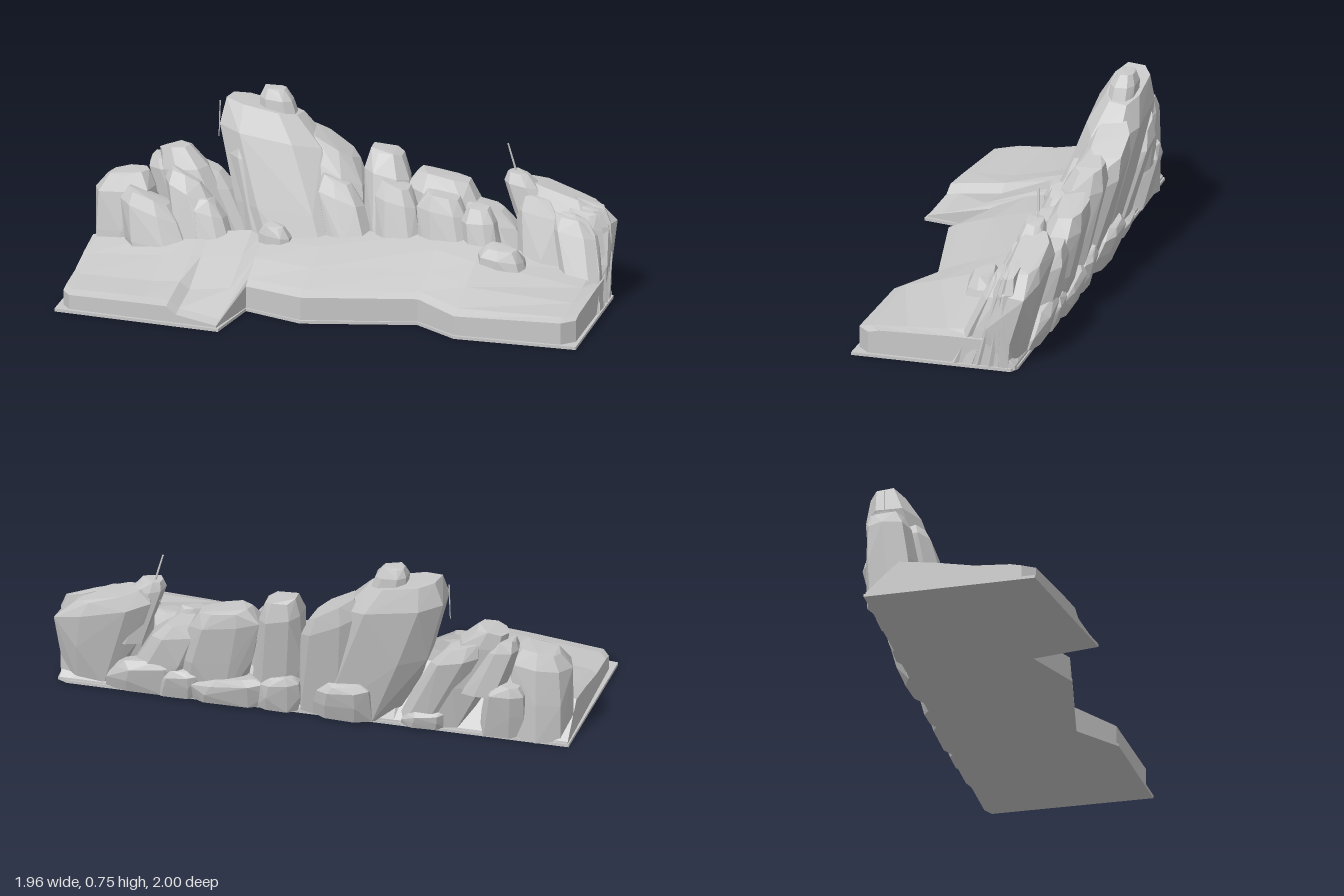
import * as THREE from 'three';
import { ConvexGeometry } from 'three/addons/geometries/ConvexGeometry.js';

// Working frame: x runs along the straight back edge, z runs towards the front, y is up.
export function createModel() {
  const model = new THREE.Group();
  model.name = 'rockOutcrop';
  const site = new THREE.Group();
  site.name = 'site';
  site.rotation.y = -0.832;
  site.position.set(-0.45, 0, -1.0);
  model.add(site);

  const stone = new THREE.MeshStandardMaterial({ color: 0xc8c8c8, flatShading: true });
  stone.name = 'grey stone';
  const add = (name, geometry) => {
    const mesh = new THREE.Mesh(geometry, stone);
    mesh.name = name;
    site.add(mesh);
    return mesh;
  };

  let seed = 7;
  const rand = () => {
    seed = (seed * 16807) % 2147483647;
    return seed / 2147483647;
  };

  // Thin base plate
  const outline = [[0, 0], [-0.017, 0.7], [0.67, 0.793], [0.718, 0.518], [0.96, 0.617],
    [1.415, 0.525], [1.594, 0.656], [2.095, 0.675], [2.09, 0.02], [2.05, 0]];
  const plate = new THREE.ExtrudeGeometry(
    new THREE.Shape(outline.map(([x, z]) => new THREE.Vector2(x, z))),
    { depth: 0.012, bevelEnabled: false });
  plate.rotateX(Math.PI / 2).translate(0, 0.012, 0);
  add('basePlate', plate);

  // Ground: [x, front edge z, heights from back to front]
  const stations = [
    [0.005, 0.64, 0.02, 0.14, 0.12, 0.09, 0.08, 0.07],
    [0.04, 0.69, 0.02, 0.15, 0.12, 0.09, 0.08, 0.07],
    [0.34, 0.735, 0.02, 0.19, 0.14, 0.095, 0.085, 0.075],
    [0.45, 0.75, 0.02, 0.2, 0.155, 0.105, 0.085, 0.075],
    [0.49, 0.755, 0.02, 0.2, 0.15, 0.075, 0.055, 0.045],
    [0.66, 0.78, 0.02, 0.22, 0.17, 0.1, 0.03, 0.02],
    [0.715, 0.51, 0.02, 0.22, 0.2, 0.17, 0.12, 0.1],
    [0.96, 0.608, 0.02, 0.23, 0.21, 0.17, 0.125, 0.105],
    [1.415, 0.517, 0.02, 0.25, 0.22, 0.17, 0.125, 0.105],
    [1.594, 0.645, 0.02, 0.24, 0.2, 0.15, 0.11, 0.09],
    [2.03, 0.66, 0.02, 0.15, 0.13, 0.12, 0.11, 0.1],
    [2.08, 0.61, 0.02, 0.12, 0.12, 0.115, 0.11, 0.1],
  ];
  const fractions = [0.01, 0.22, 0.45, 0.7, 0.93, 1];
  const position = [], index = [], n = fractions.length + 2;
  stations.forEach(([x, front, ...heights], i) => {
    position.push(x, 0.006, 0.005);
    heights.forEach((y, j) => position.push(x, y, front * fractions[j]));
    position.push(x, 0.006, front);
    if (i === stations.length - 1) return;
    for (let j = 0; j < n - 1; j++) {
      const a = i * n + j;
      index.push(a, a + 1, a + n, a + 1, a + n + 1, a + n);
    }
  });
  const last = (stations.length - 1) * n;
  for (let j = 1; j < n - 1; j++) {
    index.push(0, j + 1, j, last, last + j, last + j + 1);
  }
  const ground = new THREE.BufferGeometry();
  ground.setAttribute('position', new THREE.Float32BufferAttribute(position, 3));
  ground.setIndex(index);
  const facetedGround = ground.toNonIndexed();
  facetedGround.computeVertexNormals();
  add('ground', facetedGround);

  // Faceted rock leaning from a base to a top, each given as [x, z, half length, half depth].
  // tilt slopes the top along x.
  const rock = (name, base, top, height, tilt = 0, y0 = 0.008, sides = 8) => {
    const points = [];
    const turn = rand() * 0.6;
    for (const [t, s] of [[0, 1], [0.45, 1.04], [0.86, 1], [1, 0.68]]) {
      const [cx, cz, hx, hz] = base.map((b, k) => THREE.MathUtils.lerp(b, top[k], t));
      for (let k = 0; k < sides; k++) {
        const a = turn + (k / sides) * Math.PI * 2;
        const r = s * (0.93 + rand() * 0.18);
        const box = (v) => Math.sign(v) * Math.abs(v) ** 0.75;
        const dx = box(Math.cos(a)) * hx * r;
        const y = t * (height - y0 + tilt * dx) + y0 + (t > 0.9 ? rand() * 0.015 : 0);
        points.push(new THREE.Vector3(cx + dx, y, cz + box(Math.sin(a)) * hz * r));
      }
    }
    add(name, new ConvexGeometry(points));
  };

  // Far end block and the slabs leaning towards it
  rock('endBlock', [0.13, 0.1, 0.12, 0.11], [0.13, 0.07, 0.12, 0.085], 0.385, 0.1);
  rock('endBlockFoot', [0.28, 0.06, 0.1, 0.07], [0.25, 0.0, 0.08, 0.07], 0.25);
  rock('leaningSlab', [0.56, 0.1, 0.12, 0.1], [0.31, 0.01, 0.09, 0.075], 0.485, 0.1);
  rock('leaningSlabBack', [0.62, 0.07, 0.09, 0.08], [0.42, -0.02, 0.1, 0.07], 0.41, -0.3);
  rock('leaningSlabCap', [0.36, 0.01, 0.08, 0.06], [0.26, 0.01, 0.07, 0.06], 0.44, -0.1, 0.2);
  rock('leaningSlabFront', [0.52, 0.19, 0.13, 0.08], [0.38, 0.1, 0.1, 0.06], 0.4, -0.5);
  rock('frontSlab', [0.32, 0.21, 0.14, 0.09], [0.24, 0.16, 0.12, 0.07], 0.32, -0.4);
  rock('frontSlabSmall', [0.54, 0.2, 0.09, 0.07], [0.46, 0.14, 0.07, 0.05], 0.32, -0.3);

  // Main peak with its shoulder and summit knob
  rock('mainPeak', [0.9, 0.12, 0.2, 0.14], [0.66, -0.04, 0.22, 0.11], 0.665, -0.2);
  rock('peakShoulder', [1.0, 0.13, 0.14, 0.13], [0.94, -0.05, 0.14, 0.1], 0.53, -0.6);
  rock('peakButtress', [1.1, 0.17, 0.1, 0.09], [0.98, 0.07, 0.09, 0.06], 0.42, -0.4);
  rock('peakFace', [0.79, 0.16, 0.11, 0.07], [0.63, 0.04, 0.1, 0.06], 0.56, -0.2);
  rock('summitKnob', [0.75, -0.03, 0.09, 0.06], [0.7, -0.05, 0.065, 0.05], 0.74, -0.1, 0.5);

  // Middle rocks
  rock('middleRock', [1.21, 0.09, 0.1, 0.1], [1.16, -0.035, 0.09, 0.08], 0.52, -0.25);
  rock('middleRockFront', [1.27, 0.16, 0.1, 0.07], [1.22, 0.07, 0.08, 0.06], 0.42, -0.3);
  rock('roundedRock', [1.49, 0.08, 0.15, 0.09], [1.39, -0.03, 0.15, 0.08], 0.44, -0.2);
  rock('roundedRockFront', [1.47, 0.15, 0.12, 0.07], [1.41, 0.08, 0.1, 0.06], 0.39, -0.2);
  rock('lowerRock', [1.72, 0.07, 0.13, 0.09], [1.56, 0.01, 0.12, 0.08], 0.34, -0.2);
  rock('lowerRockFront', [1.62, 0.16, 0.08, 0.07], [1.56, 0.1, 0.065, 0.05], 0.36);

  // Near end overhang with slanting ribs spreading down its end face
  rock('overhangRock', [1.96, 0.12, 0.11, 0.11], [1.88, 0.0, 0.21, 0.09], 0.425, -0.33);
  rock('overhangLip', [1.84, 0.05, 0.1, 0.07], [1.71, 0.03, 0.065, 0.05], 0.495, -0.2, 0.22);
  for (let i = 0; i < 5; i++) {
    const z = 0.06 + i * 0.048;
    rock('overhangRib' + (i + 1), [2.03, z, 0.06, 0.032],
      [2.0 - i * 0.015, z * 0.4 + 0.01, 0.09, 0.03], 0.39 - i * 0.012, -0.25, 0.008, 6);
  }
  rock('overhangFoot', [1.86, 0.16, 0.1, 0.08], [1.8, 0.06, 0.09, 0.05], 0.41, -0.2);

  // Low boulders: [x, z, half length, half depth, height, outward lean]
  const boulders = [
    [0.78, 0.22, 0.075, 0.05, 0.26, 0], [1.71, 0.245, 0.11, 0.075, 0.245, 0],
    [0.92, 0.03, 0.13, 0.07, 0.18, 0.07], [1.19, 0.03, 0.09, 0.06, 0.16, 0.05],
    [1.4, 0.04, 0.18, 0.07, 0.12, 0.05], [1.74, 0.05, 0.16, 0.07, 0.15, 0.05],
    [1.6, 0.04, 0.1, 0.06, 0.13, 0.05], [0.6, 0.04, 0.1, 0.06, 0.08, 0.03],
  ];
  boulders.forEach(([x, z, hx, hz, h, lean], i) =>
    rock('boulder' + (i + 1), [x, z, hx, hz], [x - 0.02, z - lean, hx * 0.82, hz * 0.8], h, -0.15));

  // Twigs on the two overhanging tips
  const twig = (name, from, to, radius) => {
    const a = new THREE.Vector3(...from), b = new THREE.Vector3(...to);
    const dir = b.clone().sub(a);
    const mesh = add(name, new THREE.CylinderGeometry(radius * 0.7, radius, dir.length(), 5));
    mesh.position.copy(a).add(b).multiplyScalar(0.5);
    mesh.quaternion.setFromUnitVectors(new THREE.Vector3(0, 1, 0), dir.normalize());
  };
  twig('uprightTwig', [1.7, 0.48, 0.02], [1.664, 0.615, 0.03], 0.005);
  twig('hangingTwigNear', [1.68, 0.48, 0.03], [1.675, 0.39, 0.03], 0.003);
  twig('hangingTwigPeak', [0.48, 0.68, -0.03], [0.475, 0.53, -0.03], 0.003);

  return model;
}
